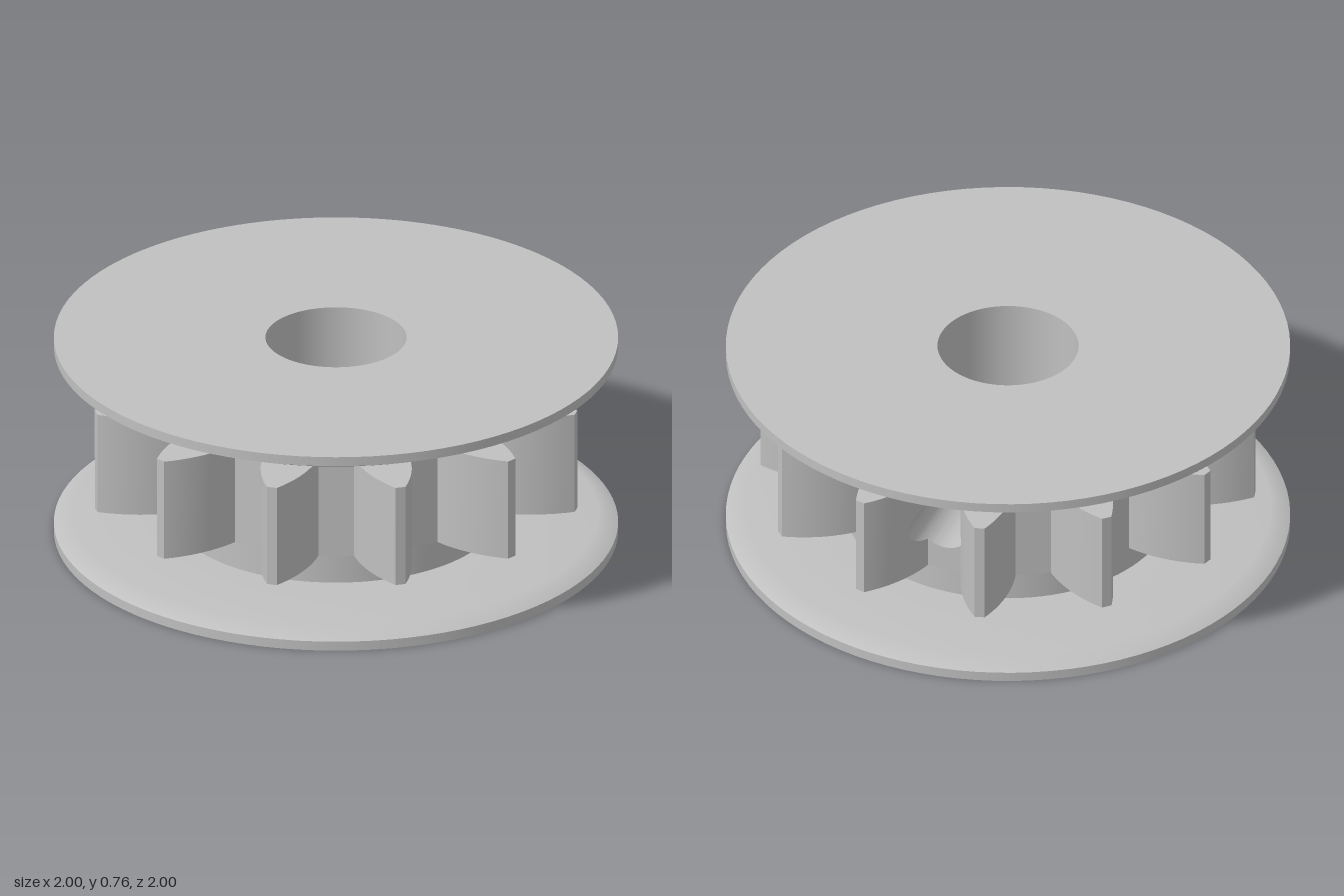
import * as THREE from 'three';
import { toCreasedNormals } from 'three/addons/utils/BufferGeometryUtils.js';

const TEETH = 12, STEP = (Math.PI * 2) / TEETH;
const HEIGHT = 0.757, MID = HEIGHT / 2, Y0 = MID - 0.19, Y1 = MID + 0.19;
const BORE = 0.25, HUB = 0.58, ROOT = 0.605, TIP = 0.88, HOLE = 0.1;
const HOLE_ANGLE = STEP * 3.5;

// Point at depth d along direction a, shifted sideways by s
const at = (a, s, d, y) => [d * Math.sin(a) + s * Math.cos(a), y, d * Math.cos(a) - s * Math.sin(a)];

// One half of a tooth gap as [sideways, depth] points: convex flank from root to tip
function flankPoints() {
  const base = 0.097, tip = 0.018, rise = TIP - ROOT, drop = base - tip;
  const R = (rise * rise + drop * drop) / (2 * drop), n = 10, pts = [];
  for (let i = 0; i <= n; i++) {
    const e = (rise * i) / n;
    const r = ROOT + e, w = base - R + Math.sqrt(R * R - e * e);
    const c = Math.cos(STEP / 2), k = Math.sin(STEP / 2);
    pts.push([r * k - w * c, r * c + w * k]);
  }
  return pts;
}
const flank = flankPoints();
const gap = [...flank.map(([s, d]) => [-s, d]).reverse(), ...flank];

// Depth of the gap surface at a sideways position
function gapDepth(s) {
  const x = Math.abs(s);
  if (x <= flank[0][0]) return flank[0][1];
  for (let i = 1; i < flank.length; i++) {
    const [s0, d0] = flank[i - 1], [s1, d1] = flank[i];
    if (x <= s1) return d0 + ((d1 - d0) * (x - s0)) / (s1 - s0);
  }
  return flank[flank.length - 1][1];
}
const boreDepth = s => Math.sqrt(BORE * BORE - s * s);
const chord = s => Math.sqrt(Math.max(0, HOLE * HOLE - s * s));

function quad(out, a, b, c, d) {
  out.push(...a, ...b, ...c, ...a, ...c, ...d);
}

function fromTriangles(positions) {
  const g = new THREE.BufferGeometry();
  g.setAttribute('position', new THREE.Float32BufferAttribute(positions, 3));
  return toCreasedNormals(g, Math.PI / 6);
}

// Upright wall across the sample positions, with the round hole left open
function holedWall(out, samples, depth, inward) {
  const a = HOLE_ANGLE;
  for (let i = 1; i < samples.length; i++) {
    const s = samples[i - 1], t = samples[i], cs = chord(s), ct = chord(t);
    const bands = cs + ct > 1e-6
      ? [[Y0, Y0, MID - cs, MID - ct], [MID + cs, MID + ct, Y1, Y1]]
      : [[Y0, Y0, Y1, Y1]];
    for (const [ls, lt, hs, ht] of bands) {
      const p = [at(a, s, depth(s), ls), at(a, t, depth(t), lt), at(a, t, depth(t), ht), at(a, s, depth(s), hs)];
      if (inward) p.reverse();
      quad(out, ...p);
    }
  }
}

export function createModel() {
  const model = new THREE.Group();
  const grey = new THREE.MeshStandardMaterial({ color: 0xc0c0c0 });
  grey.name = 'plain grey';
  const add = (name, geometry, parent = model) => {
    const mesh = new THREE.Mesh(geometry, grey);
    mesh.name = name;
    parent.add(mesh);
    return mesh;
  };
  const lathe = (pts, start = 0, length = Math.PI * 2) =>
    new THREE.LatheGeometry(pts.map(p => new THREE.Vector2(...p)), 96, start, length);

  // Flanges with bevelled inner faces, each with its hub collar and bore end
  const half = [
    [[BORE, HEIGHT], [BORE, Y1]],
    [[1, HEIGHT], [BORE, HEIGHT]],
    [[1, 0.722], [1, HEIGHT]],
    [[HUB, 0.688], [0.93, 0.688], [1, 0.722]],
    [[HUB, Y1], [HUB, 0.688]],
  ];
  for (const name of ['topFlange', 'bottomFlange']) {
    const flange = new THREE.Group();
    flange.name = name;
    const low = name === 'bottomFlange';
    for (const pts of half) {
      add(name + 'Surface', lathe(low ? pts.map(([r, y]) => [r, HEIGHT - y]).reverse() : pts), flange);
    }
    model.add(flange);
  }

  // Sample positions across the hole
  const holeSamples = [];
  for (let i = 0; i <= 32; i++) holeSamples.push(-HOLE * Math.cos((Math.PI * i) / 32));
  const holedGap = [...holeSamples, ...gap.map(p => p[0])].sort((p, q) => p - q)
    .filter((s, i, all) => i === 0 || s - all[i - 1] > 1e-7);

  // Tooth flanks, roots and narrow tips
  const teeth = [], outline = [];
  for (let k = 0; k < TEETH; k++) {
    const a = STEP * (k + 0.5);
    if (k === 3) holedWall(teeth, holedGap, gapDepth, false);
    for (let i = 0; i < gap.length; i++) {
      const [s, d] = gap[i];
      outline.push(at(a, s, d, 0));
      if (i === 0 || k === 3) continue;
      const [ps, pd] = gap[i - 1];
      quad(teeth, at(a, ps, pd, Y0), at(a, s, d, Y0), at(a, s, d, Y1), at(a, ps, pd, Y1));
    }
    const [s, d] = gap[gap.length - 1], b = a + STEP;
    quad(teeth, at(a, s, d, Y0), at(b, -s, d, Y0), at(b, -s, d, Y1), at(a, s, d, Y1));
  }
  add('sprocketTeeth', fromTriangles(teeth));

  // Flat ends of the toothed ring
  for (const side of [1, -1]) {
    const shape = new THREE.Shape(outline.map(([x, , z]) => new THREE.Vector2(x, -side * z)));
    shape.holes.push(new THREE.Path().absarc(0, 0, 0.5, 0, Math.PI * 2, true));
    const end = add(side > 0 ? 'sprocketTop' : 'sprocketUnderside',
      new THREE.ShapeGeometry(shape, 48).rotateX((-side * Math.PI) / 2));
    end.position.y = side > 0 ? Y1 : Y0;
  }

  // Middle of the bore, pierced by the screw hole
  const spread = Math.asin(HOLE / BORE);
  add('boreWall', lathe([[BORE, Y1], [BORE, Y0]], HOLE_ANGLE + spread, Math.PI * 2 - 2 * spread));
  const pierced = [];
  holedWall(pierced, holeSamples, boreDepth, true);
  add('piercedBoreWall', fromTriangles(pierced));

  // Radial screw hole running from the tooth gap to the bore
  const hole = [], across = holedGap.filter(s => Math.abs(s) <= HOLE + 1e-7);
  for (let i = 1; i < across.length; i++) {
    const s = across[i - 1], t = across[i];
    for (const side of [1, -1]) {
      const ys = MID + side * chord(s), yt = MID + side * chord(t), a = HOLE_ANGLE;
      const p = [at(a, s, boreDepth(s), ys), at(a, s, gapDepth(s), ys), at(a, t, gapDepth(t), yt), at(a, t, boreDepth(t), yt)];
      if (side > 0) p.reverse();
      quad(hole, ...p);
    }
  }
  add('screwHole', fromTriangles(hole));

  return model;
}
